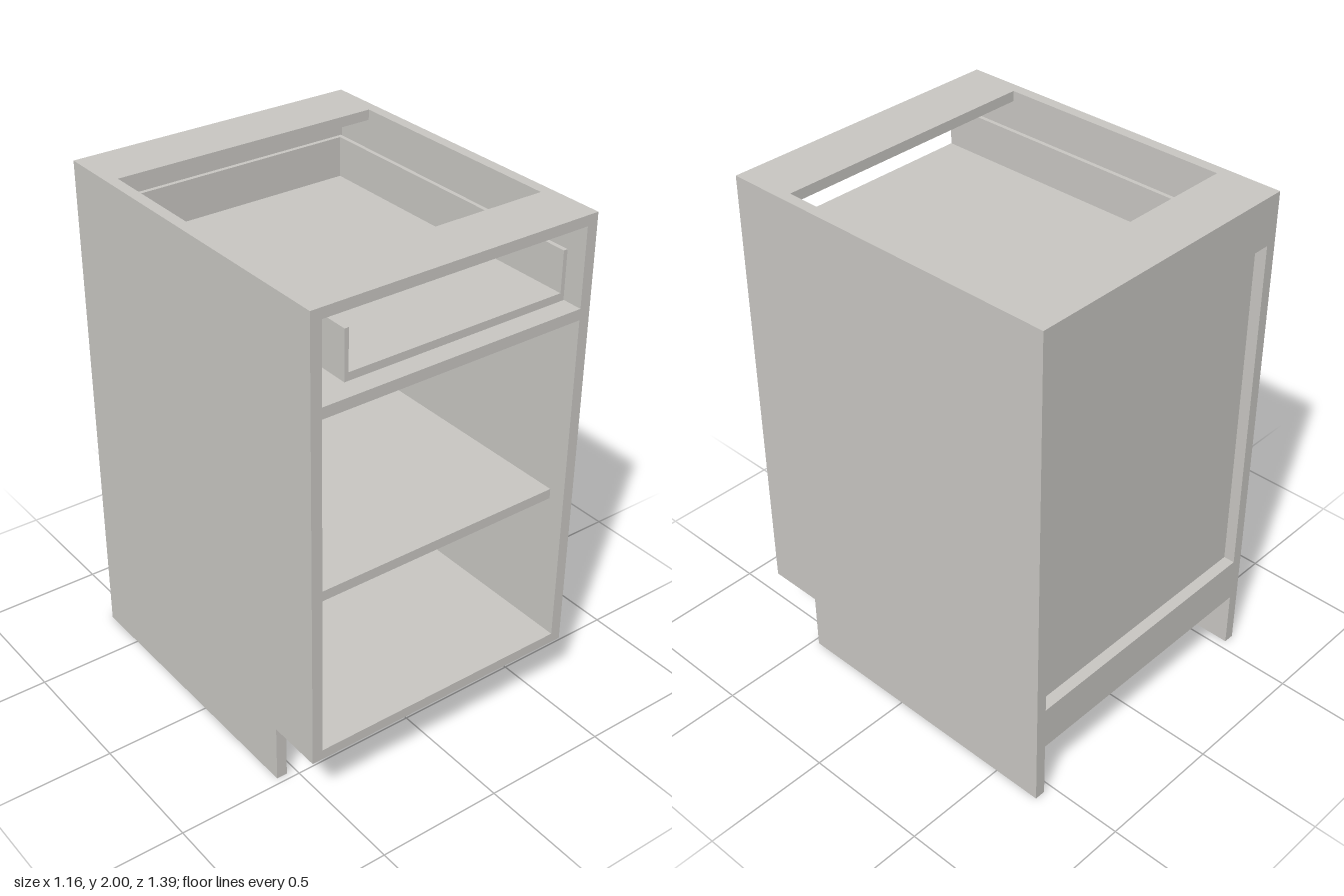
import * as THREE from 'three';

export function createModel() {
  const model = new THREE.Group();
  model.name = 'baseCabinet';
  const panelGrey = new THREE.MeshStandardMaterial({ color: 0xc8c6c2 });
  panelGrey.name = 'panel grey';

  // Board given by its extents along each axis
  function board(name, [x0, x1], [y0, y1], [z0, z1], parent = model) {
    const mesh = new THREE.Mesh(new THREE.BoxGeometry(x1 - x0, y1 - y0, z1 - z0), panelGrey);
    mesh.position.set((x0 + x1) / 2, (y0 + y1) / 2, (z0 + z1) / 2);
    mesh.name = name;
    parent.add(mesh);
  }

  const W = 0.58, D = 0.695, H = 2, T = 0.043;
  const inner = W - T;
  const span = [-inner, inner];
  const floorY = 0.235, floorTop = floorY + 0.04;

  // Side panels with the toe notch at the lower front
  const profile = new THREE.Shape([
    [D, 0], [D, H], [-D, H], [-D, floorY], [-0.475, floorY], [-0.475, 0],
  ].map(([x, y]) => new THREE.Vector2(x, y)));
  const sideGeometry = new THREE.ExtrudeGeometry(profile, { depth: T, bevelEnabled: false });
  sideGeometry.rotateY(Math.PI / 2);
  for (const [name, x] of [['leftSide', inner], ['rightSide', -W]]) {
    const side = new THREE.Mesh(sideGeometry, panelGrey);
    side.position.x = x;
    side.name = name;
    model.add(side);
  }

  // Floor, front rail and top stretchers
  board('floor', span, [floorY, floorTop], [-D, D]);
  board('drawerRail', span, [1.615, 1.658], [0.467, D]);
  board('topFrontStretcher', span, [1.96, H], [0.467, D]);
  board('topBackStretcher', span, [1.96, H], [-D, -0.467]);

  // Recessed back with its two rails
  board('backPanel', span, [floorTop, 1.96], [-0.65, -0.63]);
  board('backTopRail', span, [1.81, 1.96], [-D, -0.65]);
  board('backBottomRail', span, [floorTop, 0.415], [-D, -0.65]);

  // Loose shelf, slightly narrower than the opening
  board('shelf', [-0.533, 0.533], [0.86, 0.9], [-0.63, 0.63]);

  // Drawer tray, open at the front
  const drawer = new THREE.Group();
  drawer.name = 'drawer';
  model.add(drawer);
  const dw = 0.453, di = 0.437, dy = 1.717, dFloor = 1.747, dTop = 1.902;
  board('drawerBottom', [-dw, dw], [dy, dFloor], [-0.527, D], drawer);
  board('drawerLeftWall', [di, dw], [dFloor, dTop], [-0.527, D], drawer);
  board('drawerRightWall', [-dw, -di], [dFloor, dTop], [-0.527, D], drawer);
  board('drawerBack', [-di, di], [dFloor, dTop], [-0.527, -0.51], drawer);

  return model;
}
